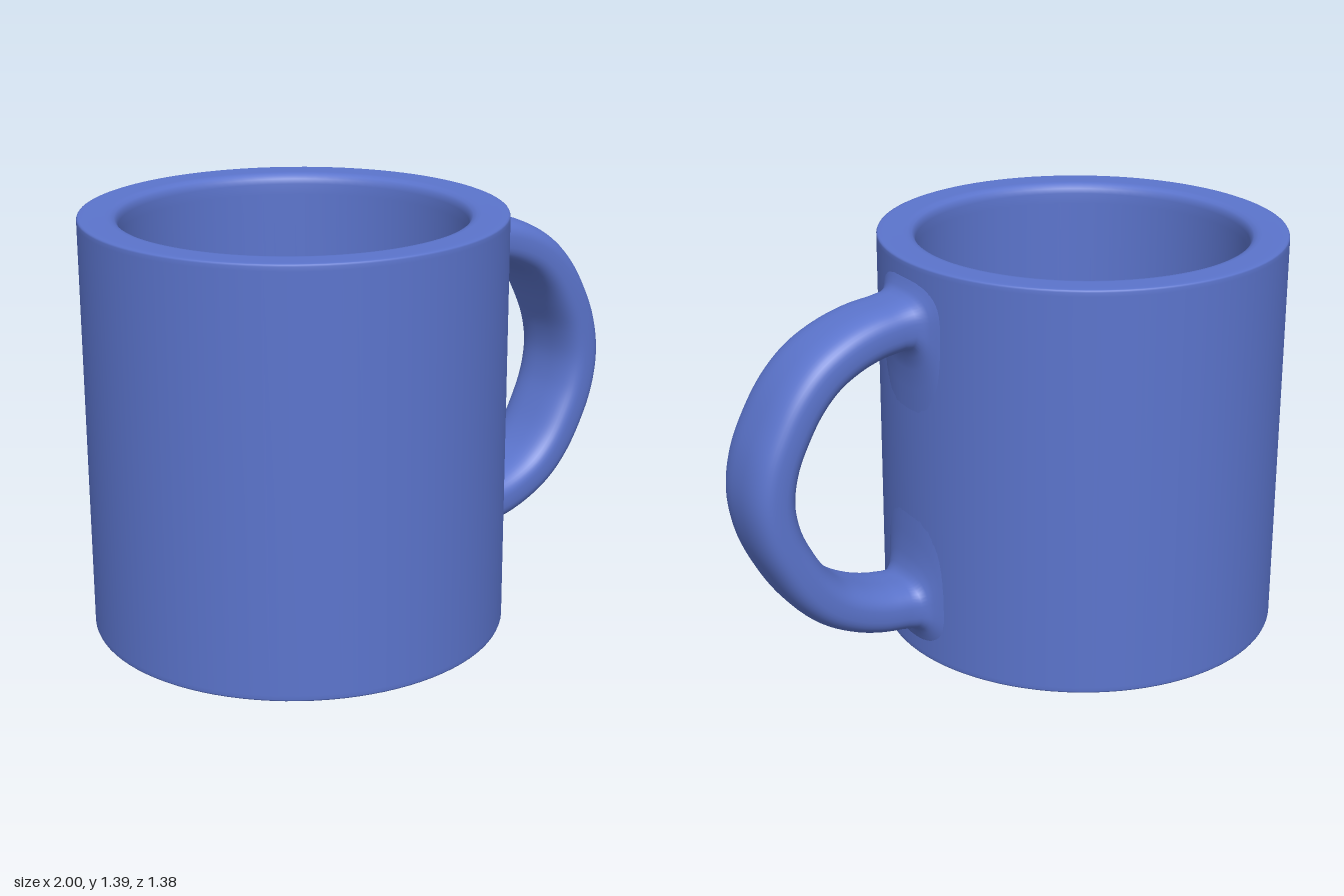
import * as THREE from 'three';

const CX = -0.31, R = 0.69, H = 1.39, MID = 0.695;

// Wall surface x at a given depth z
const wallX = (z) => CX + Math.sqrt(R * R - z * z);

function createBody() {
  // Bottom, outer wall, rim with softened edges, inner wall, inner floor
  const profile = [
    [0, 0], [0.67, 0], [0.683, 0], [0.688, 0.002], [0.69, 0.007], [0.69, 0.02],
    [0.69, H - 0.02], [0.69, H - 0.007], [0.688, H - 0.002], [0.683, H], [0.67, H],
    [0.6, H], [0.585, H - 0.002], [0.572, H - 0.008], [0.564, H - 0.018], [0.56, H - 0.035], [0.56, H - 0.07],
    [0.56, 0.22], [0.56, 0.18], [0.55, 0.15], [0.53, 0.135], [0.5, 0.13], [0.46, 0.13], [0, 0.13],
  ].map(([x, y]) => new THREE.Vector2(x, y));
  return new THREE.LatheGeometry(profile, 96);
}

function createHandle() {
  const SEG = 48, STEPS = 64, THICK = 0.082, rings = [];

  // Rounded-rectangle section as (across, out) pairs in -1..1
  const section = Array.from({ length: SEG }, (_, j) => {
    const a = (j / SEG) * Math.PI * 2, p = 2 / 2.8;
    const f = (v) => Math.sign(v) * Math.pow(Math.abs(v), p);
    return [f(Math.cos(a)), f(Math.sin(a))];
  });

  // Flared joint rings: distance from wall, outer flare, inner flare
  const flare = [[-0.004, 0.065, 0.3], [0.004, 0.045, 0.15], [0.012, 0.026, 0.08], [0.022, 0.012, 0.035], [0.04, 0.002, 0.006]];
  const joint = (side) => flare.map(([d, e, inner]) => section.map(([u, v]) => {
    const z = u * (0.127 + e);
    const y = 0.5 + v * (THICK + (v > 0 ? e : inner));
    return [wallX(z) + d, MID + side * y, z];
  }));

  // Bowed centre line, mirrored about mid height
  const half = [[0.45, 0.494], [0.53, 0.482], [0.62, 0.453], [0.715, 0.4], [0.79, 0.325], [0.85, 0.23], [0.898, 0.12]];
  const pts = [...half, [0.917, 0], ...half.slice().reverse().map(([x, y]) => [x, -y])];
  const curve = new THREE.CatmullRomCurve3(pts.map(([x, y]) => new THREE.Vector3(x, y + MID, 0)));

  rings.push(...joint(1));
  for (let i = 0; i <= STEPS; i++) {
    const c = curve.getPointAt(i / STEPS), t = curve.getTangentAt(i / STEPS);
    const w = 0.127 + 0.025 * THREE.MathUtils.smoothstep(c.x, 0.36, 0.93);
    rings.push(section.map(([u, v]) => [c.x - t.y * v * THICK, c.y + t.x * v * THICK, u * w]));
  }
  rings.push(...joint(-1).reverse());

  // Skin the rings
  const index = [];
  for (let i = 0; i < rings.length - 1; i++) {
    for (let j = 0; j < SEG; j++) {
      const k = (j + 1) % SEG;
      const a = i * SEG + j, b = a + SEG, c = i * SEG + k, d = c + SEG;
      index.push(a, b, c, b, d, c);
    }
  }
  const geo = new THREE.BufferGeometry();
  geo.setAttribute('position', new THREE.Float32BufferAttribute(rings.flat(2), 3));
  geo.setIndex(index);
  geo.computeVertexNormals();
  return geo;
}

export function createModel() {
  const blue = new THREE.MeshStandardMaterial({ color: 0x5b74cc });
  blue.name = 'blueGlaze';

  const mug = new THREE.Group();
  mug.name = 'mug';

  const body = new THREE.Mesh(createBody(), blue);
  body.name = 'body';
  body.position.x = CX;

  const handle = new THREE.Mesh(createHandle(), blue);
  handle.name = 'handle';

  mug.add(body, handle);
  return mug;
}
